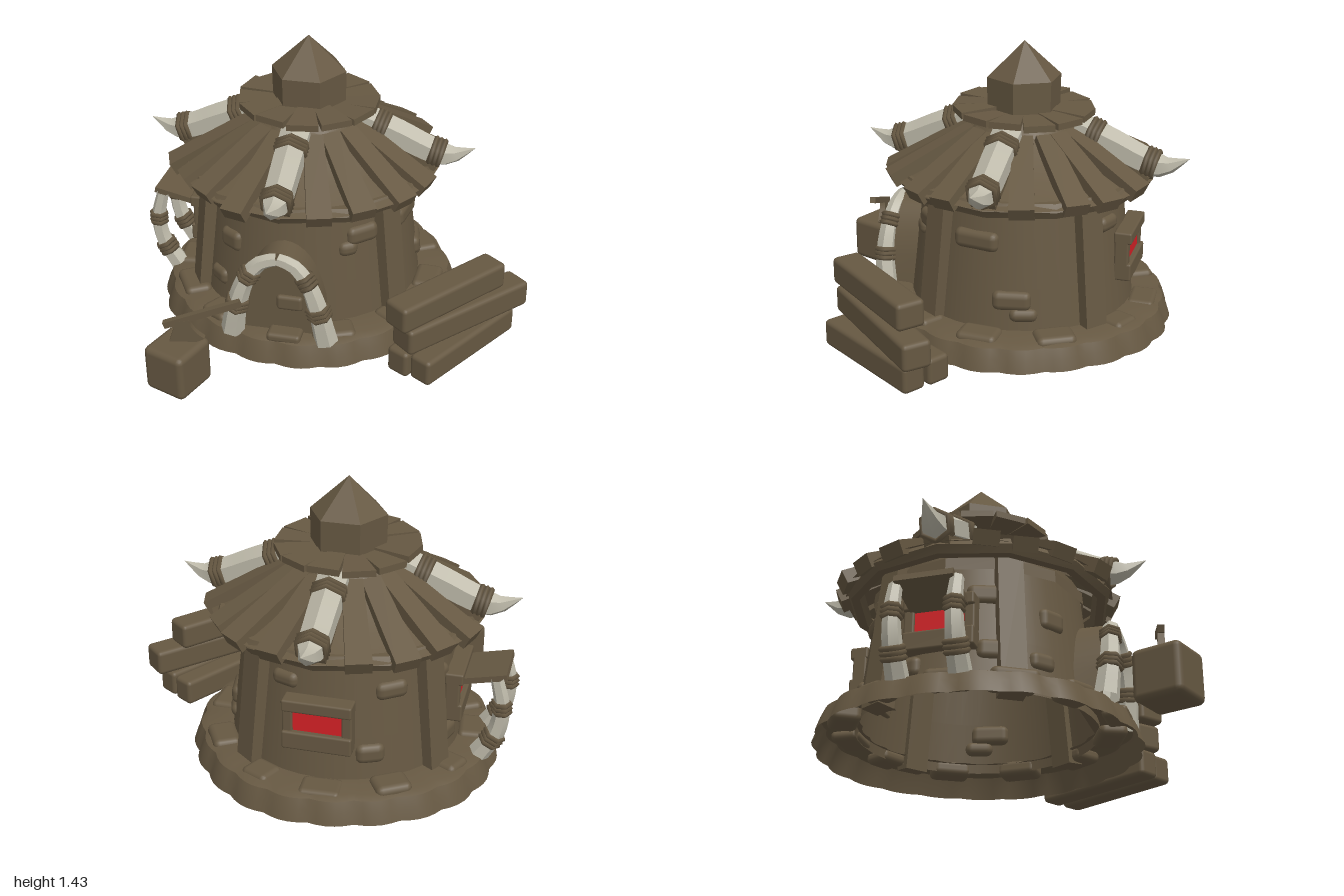
import * as THREE from 'three';
import { toCreasedNormals } from 'three/addons/utils/BufferGeometryUtils.js';
import { RoundedBoxGeometry } from 'three/addons/geometries/RoundedBoxGeometry.js';

const material = (name, color) =>
  new THREE.MeshStandardMaterial({ name, color, side: THREE.DoubleSide });
const brown = material('brown wood and clay', 0x665842);
const bone = material('pale bone', 0xbcb8a8);
const red = material('red window', 0xd42126);

const V = (x, y, z) => new THREE.Vector3(x, y, z);
const DEG = Math.PI / 180;
let seed = 7;
const jitter = (a) => ((seed = (seed * 16807) % 2147483647) / 2147483647 - 0.5) * 2 * a;

function add(parent, name, geometry, mat, x = 0, y = 0, z = 0) {
  const mesh = new THREE.Mesh(geometry, mat);
  mesh.name = name;
  mesh.position.set(x, y, z);
  parent.add(mesh);
  return mesh;
}
const crease = (g, a = 0.5) => toCreasedNormals(g, a);
const block = (w, h, d, r = 0.015) => new RoundedBoxGeometry(w, h, d, 2, r);
const lathe = (pts, n) =>
  new THREE.LatheGeometry(pts.map(([r, y]) => new THREE.Vector2(r, y)), n);

// Group whose local +z points outward at an angle around the hut
function facing(parent, name, deg) {
  const g = new THREE.Group();
  g.name = name;
  g.rotation.y = deg * DEG;
  parent.add(g);
  return g;
}

// Box with its inner (-z) end narrowed
function taperedBox(w, h, d, k) {
  const g = new THREE.BoxGeometry(w, h, d);
  const p = g.attributes.position;
  for (let i = 0; i < p.count; i++) if (p.getZ(i) < 0) p.setX(i, p.getX(i) * k);
  return g;
}

// Six-sided ridged tusk swept along a curve, with rope bands at the given stations
function tusk(parent, name, points, radius, bands) {
  const curve = new THREE.CatmullRomCurve3(points);
  const n = 12;
  const g = new THREE.TubeGeometry(curve, n, 1, 6, false);
  const p = g.attributes.position;
  const v = V(0, 0, 0);
  for (let i = 0; i < p.count; i++) {
    const t = Math.floor(i / 7) / n;
    const c = curve.getPointAt(t);
    v.fromBufferAttribute(p, i).sub(c).applyAxisAngle(curve.getTangentAt(t), Math.PI / 2);
    v.multiplyScalar(radius(t)).add(c);
    p.setXYZ(i, v.x, v.y, v.z);
  }
  add(parent, name, crease(g, 0.6), bone);
  for (const t of bands) {
    const tangent = curve.getTangentAt(t);
    for (const k of [-1, 0, 1]) {
      const c = curve.getPointAt(t).addScaledVector(tangent, k * 0.022);
      const ring = add(parent, 'ropeBand',
        new THREE.TorusGeometry(radius(t), 0.014, 5, 6), brown, c.x, c.y, c.z);
      ring.quaternion.setFromUnitVectors(V(0, 0, 1), tangent);
      ring.rotateZ(Math.PI / 2);
    }
  }
}

// Box beam laid between two points
function beam(parent, name, a, b, w, h, k = 1) {
  const m = add(parent, name, taperedBox(w, h, a.distanceTo(b), k), brown);
  m.position.copy(a).add(b).multiplyScalar(0.5);
  m.quaternion.setFromRotationMatrix(new THREE.Matrix4().lookAt(b, a, V(0, 1, 0)));
  return m;
}

const wallRadius = (y) => 0.575 - 0.12 * (y - 0.1);

function buildWalls(hut) {
  // Scalloped foundation skirt
  const base = lathe([[0.775, 0.02], [0.755, 0.08], [0.735, 0.125], [0.7, 0.14], [0.56, 0.145]], 110);
  const p = base.attributes.position;
  for (let i = 0; i < p.count; i++) {
    const a = Math.atan2(p.getX(i), p.getZ(i));
    const s = 0.975 + 0.022 * Math.abs(Math.sin(a * 11)) + 0.01 * Math.sin(a * 5);
    p.setXYZ(i, p.getX(i) * s, p.getY(i), p.getZ(i) * s);
  }
  add(hut, 'foundation', crease(base, 0.6), brown);
  add(hut, 'wall', lathe([[0.575, 0.1], [0.545, 0.35], [0.49, 0.81]], 40), brown);
  add(hut, 'wallTopBeam', crease(new THREE.CylinderGeometry(0.515, 0.52, 0.06, 12, 1, true)), brown, 0, 0.745, 0);

  // Uneven footing stones
  for (let i = 1; i < 12; i++) {
    const g = facing(hut, 'footStoneMount', i * 30 + jitter(7));
    add(g, 'footStone', block(0.18 + jitter(0.05), 0.07 + jitter(0.02), 0.14, 0.03), brown, 0, 0.125, 0.63);
  }
  // Leaning support posts
  for (const a of [58, 142, 239, 302])
    beam(facing(hut, 'postMount', a), 'post', V(0, 0.08, 0.585), V(0, 0.79, 0.505), 0.12, 0.09);
  // Stones set in the clay: angle, height, width, height of stone
  const stones = [[-34, 0.5, 0.14, 0.11], [43, 0.58, 0.17, 0.1], [34, 0.52, 0.1, 0.08], [81, 0.57, 0.23, 0.1],
    [101, 0.29, 0.19, 0.1], [107, 0.22, 0.14, 0.07], [160, 0.6, 0.14, 0.08],
    [205, 0.27, 0.14, 0.1], [217, 0.57, 0.16, 0.09], [251, 0.55, 0.13, 0.09], [253, 0.24, 0.15, 0.1],
    [290, 0.58, 0.16, 0.1], [293, 0.3, 0.13, 0.1], [-42, 0.27, 0.13, 0.09]];
  for (const [a, y, w, h] of stones)
    add(facing(hut, 'stoneMount', a), 'wallStone', block(w, h, 0.07, 0.034), brown, 0, y, wallRadius(y) - 0.015);
}

function buildRoof(hut) {
  add(hut, 'roofShell', crease(lathe([[0.66, 0.785], [0.5, 0.855], [0.33, 0.955], [0.2, 1.05]], 20), 0.2), brown);
  // Log ring under the eaves
  const ring = add(hut, 'eaveLogs', crease(new THREE.TorusGeometry(0.61, 0.042, 6, 12), 0.6), brown, 0, 0.775, 0);
  ring.rotation.x = 90 * DEG;
  for (let i = 0; i < 20; i++) {
    if (i % 5 === 0) continue;
    const g = facing(hut, 'roofPlankMount', i * 18 + jitter(2.5));
    const plank = beam(g, 'roofPlank', V(0, 1.0, 0.26),
      V(0, 0.782 + jitter(0.01), 0.68 + jitter(0.02)), 0.12, 0.07, 0.8);
    plank.rotateZ(jitter(0.08));
  }
  for (let i = 0; i < 4; i++) {
    const g = facing(hut, 'roofTusk', i * 90);
    beam(g, 'tuskBacking', V(0, 0.97, 0.3), V(0, 0.785, 0.64), 0.12, 0.06);
    tusk(g, 'tusk', [V(0, 1.02, 0.27), V(0, 0.945, 0.46), V(0, 0.88, 0.61), V(0, 0.86, 0.71), V(0, 0.908, 0.835)],
      (t) => (t < 0.7 ? 0.082 - 0.014 * t : 0.072 * (1 - t) / 0.3), [0.16, 0.67]);
  }
  // Plank collar and six-sided cap
  add(hut, 'neck', new THREE.CylinderGeometry(0.2, 0.28, 0.1, 12), brown, 0, 1.03, 0);
  for (let i = 0; i < 13; i++) {
    const plank = add(facing(hut, 'collarMount', i * 360 / 13 + 8), 'collarPlank',
      taperedBox(0.155, 0.032, 0.24, 0.4), brown, 0, 1.093 + jitter(0.01), 0.225);
    plank.rotation.x = jitter(0.05);
  }
  const cap = crease(lathe([[0.185, 1.08], [0.188, 1.255], [0, 1.43]], 6), 0.2);
  add(hut, 'cap', cap, brown).rotation.y = 30 * DEG;
}

function buildDoor(hut) {
  const s = new THREE.Shape();
  s.moveTo(-0.22, 0.14);
  s.lineTo(0.22, 0.14);
  s.lineTo(0.2, 0.3);
  s.quadraticCurveTo(0.14, 0.57, 0, 0.58);
  s.quadraticCurveTo(-0.14, 0.57, -0.2, 0.3);
  const g = new THREE.ExtrudeGeometry(s, { depth: 0.13, bevelEnabled: false, curveSegments: 8 });
  add(hut, 'doorHood', crease(g), brown, 0, 0, 0.51);
  add(hut, 'doorStone', block(0.13, 0.08, 0.04, 0.018), brown, 0.05, 0.31, 0.64);
  add(hut, 'doorStep', block(0.17, 0.05, 0.12, 0.02), brown, 0.03, 0.14, 0.66);
  for (const x of [-1, 1])
    tusk(hut, 'doorTusk', [V(0.235 * x, 0.13, 0.665), V(0.2 * x, 0.31, 0.68), V(0.15 * x, 0.45, 0.675),
      V(0.08 * x, 0.535, 0.665), V(0, 0.56, 0.66)], (t) => 0.06 - 0.027 * t, [0.33, 0.66]);
}

function buildWindow(hut, deg) {
  const g = facing(hut, 'window', deg);
  add(g, 'windowPane', new THREE.BoxGeometry(0.23, 0.12, 0.008), red, 0, 0.438, 0.57);
  add(g, 'windowBacking', new THREE.BoxGeometry(0.24, 0.2, 0.1), brown, 0, 0.42, 0.515);
  add(g, 'windowLintel', block(0.33, 0.06, 0.09, 0.01), brown, 0, 0.52, 0.555);
  add(g, 'windowSill', block(0.33, 0.09, 0.09, 0.01), brown, 0, 0.342, 0.555);
  for (const x of [-0.14, 0.14])
    add(g, 'windowStile', block(0.05, 0.16, 0.07, 0.01), brown, x, 0.43, 0.55);
  return g;
}

function buildAwning(hut) {
  const g = buildWindow(hut, -90);
  beam(g, 'awning', V(0, 0.49, 0.53), V(0, 0.55, 0.8), 0.27, 0.03);
  for (const x of [-0.14, 0.14])
    tusk(g, 'awningTusk', [V(x, 0.13, 0.69), V(x, 0.26, 0.765), V(x, 0.4, 0.785), V(x, 0.54, 0.755)],
      (t) => 0.053 - 0.022 * t, [0.25, 0.66]);
}

function buildYard(root) {
  // Chopping stump with axe
  const stump = add(root, 'stump', block(0.225, 0.235, 0.235, 0.03), brown, -0.575, 0.1175, 0.83);
  stump.rotation.y = -20 * DEG;
  beam(root, 'axeHandle', V(-0.635, 0.32, 0.82), V(-0.28, 0.45, 0.755), 0.03, 0.032);
  const s = new THREE.Shape();
  s.moveTo(-0.03, 0.12);
  s.lineTo(-0.07, 0.0);
  s.quadraticCurveTo(0.02, -0.02, 0.1, 0.03);
  s.quadraticCurveTo(0.04, 0.07, 0.03, 0.13);
  const blade = add(root, 'axeHead',
    new THREE.ExtrudeGeometry(s, { depth: 0.03, bevelEnabled: false }), brown, -0.55, 0.225, 0.79);
  blade.rotation.y = 10 * DEG;

  // Stacked timber: x, y, z, width, length, angle
  const timbers = [[0.6, 0.09, 0.276, 0.12, 0.69, 30.5], [0.715, 0.09, 0.335, 0.12, 0.66, 32],
    [0.695, 0.235, 0.295, 0.145, 0.75, 42], [0.622, 0.37, 0.345, 0.145, 0.66, 39]];
  for (const [x, y, z, w, len, a] of timbers) {
    const t = add(root, 'timber', block(w, 0.135, len, 0.022), brown, x, y, z);
    t.rotation.set(0, (180 - a) * DEG, 0);
  }
}

export function createModel() {
  const root = new THREE.Group();
  root.name = 'hutWithYard';
  const hut = new THREE.Group();
  hut.name = 'hut';
  hut.position.set(-0.16, 0, -0.135);
  root.add(hut);
  buildWalls(hut);
  buildRoof(hut);
  buildDoor(hut);
  buildWindow(hut, 180);
  buildAwning(hut);
  buildYard(root);
  return root;
}
